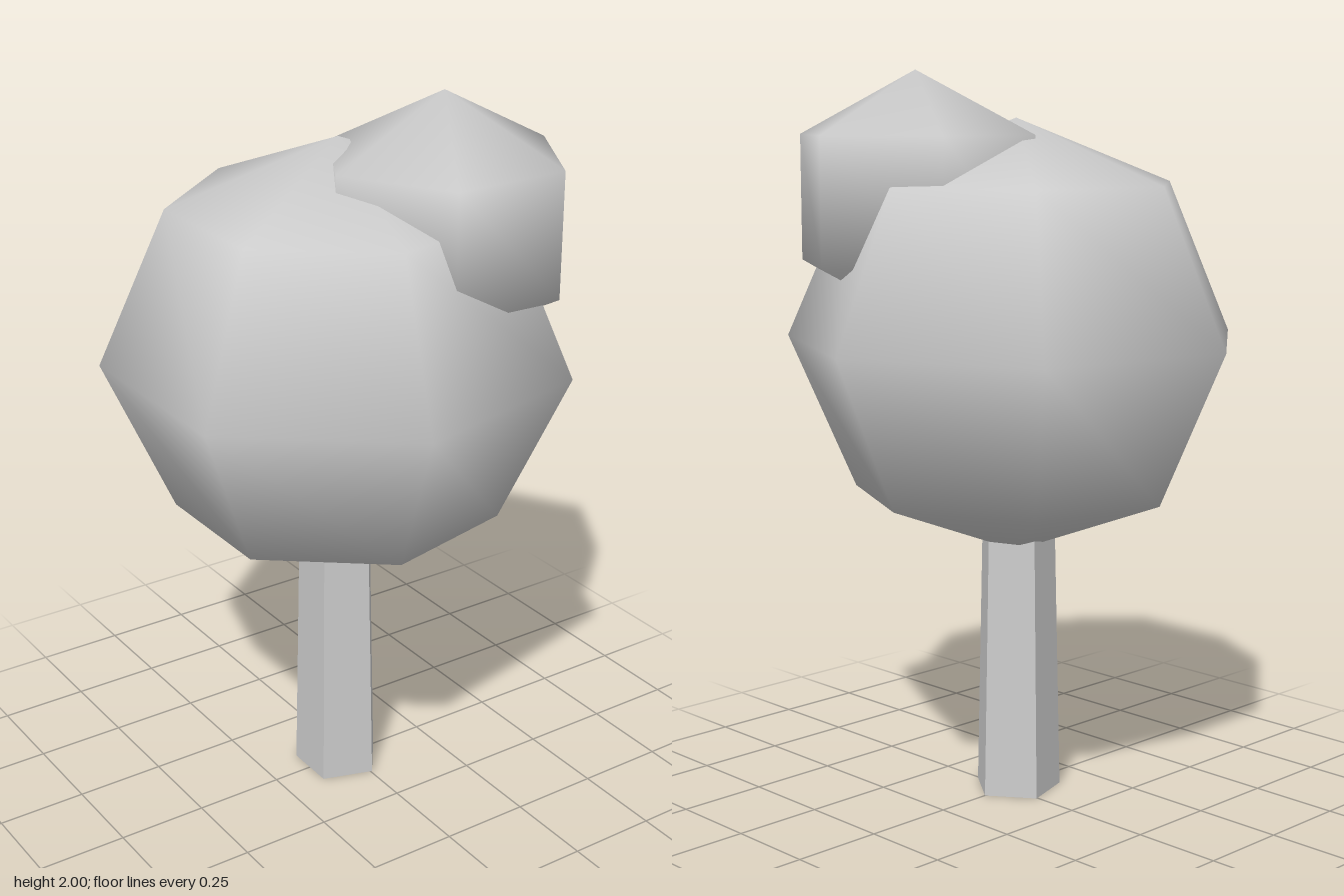
import * as THREE from 'three';

const grey = new THREE.MeshStandardMaterial({ color: 0xcccccc });
grey.name = 'light grey';

function addPart(group, name, geometry, x, y, z) {
  const mesh = new THREE.Mesh(geometry, grey);
  mesh.name = name;
  mesh.position.set(x, y, z);
  group.add(mesh);
}

// Smooth-shaded low-poly ball of leaves, one meridian pointing to +x
function leafBall(radius, height, sides, rings) {
  return new THREE.SphereGeometry(radius, sides, rings)
    .rotateY(Math.PI)
    .scale(1, height / radius, 1);
}

export function createModel() {
  const tree = new THREE.Group();
  tree.name = 'tree';

  // Tapered five-sided trunk with hard edges, ending inside the crown
  const trunk = new THREE.CylinderGeometry(0.102, 0.1244, 1, 5)
    .rotateY(Math.PI / 2)
    .toNonIndexed();
  trunk.computeVertexNormals();
  addPart(tree, 'trunk', trunk, -0.034, 0.5, 0);

  // Large crown and the smaller clump growing out of its upper front left
  addPart(tree, 'crown', leafBall(0.636, 0.594, 7, 4), -0.031, 1.28, 0);
  addPart(tree, 'smallClump', leafBall(0.381, 0.34, 6, 3), 0.18, 1.66, 0.168);

  return tree;
}
